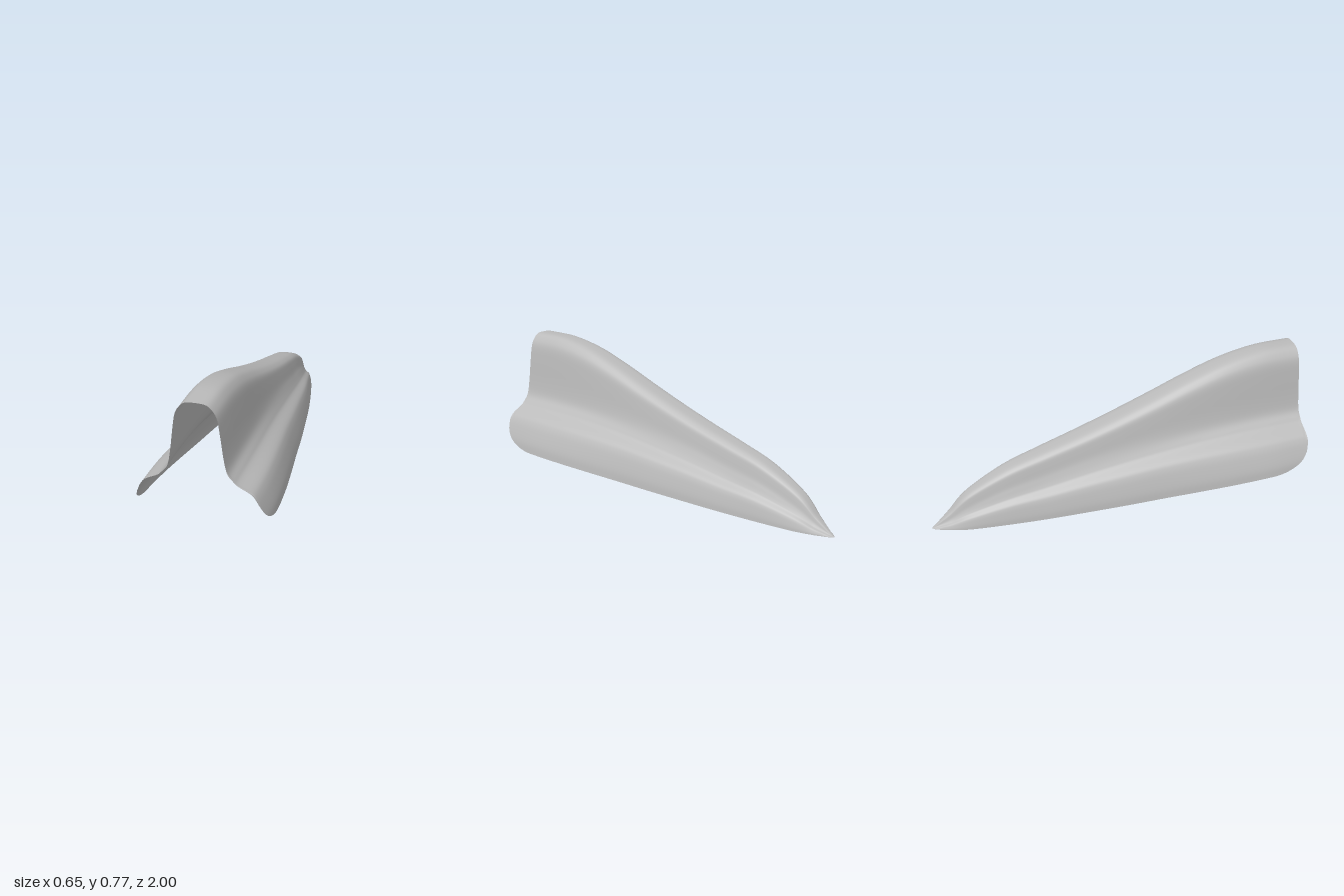
import * as THREE from 'three';

// Stations from nose to open end: z, ridge height, waist height, hem half-width, waist half-width
const stations = [
  [-1, 0, 0, 0, 0],
  [-0.98, 0.016, 0.010, 0.020, 0.009],
  [-0.95, 0.042, 0.025, 0.037, 0.018],
  [-0.9, 0.088, 0.052, 0.063, 0.033],
  [-0.8, 0.187, 0.112, 0.100, 0.056],
  [-0.6, 0.297, 0.190, 0.145, 0.083],
  [-0.4, 0.366, 0.240, 0.182, 0.098],
  [-0.2, 0.430, 0.290, 0.212, 0.109],
  [0, 0.500, 0.333, 0.240, 0.118],
  [0.2, 0.576, 0.370, 0.264, 0.126],
  [0.4, 0.656, 0.398, 0.290, 0.133],
  [0.6, 0.725, 0.417, 0.313, 0.139],
  [0.8, 0.764, 0.427, 0.327, 0.142],
  [1, 0.77, 0.43, 0.326, 0.143],
];

// Half section: hood from ridge to waist, then flared skirt from waist to hem
const hood = [[0, 1], [0.35, 0.985], [0.56, 0.91], [0.70, 0.79], [0.79, 0.55], [0.89, 0.22], [1, 0]];
const skirt = [[0.15, -0.14], [0.28, -0.225], [0.60, -0.34], [0.74, -0.45], [0.85, -0.61], [0.957, -0.82], [1, -1]];

const spline = (points) => new THREE.CatmullRomCurve3(points, false, 'catmullrom', 0.5);

function sectionCurve(ridge, waist, hem, hemWidth, waistWidth) {
  const half = [
    ...hood.map(([x, y]) => new THREE.Vector3(x * waistWidth, waist + y * (ridge - waist), 0)),
    ...skirt.map(([x, y]) => new THREE.Vector3(waistWidth + x * (hemWidth - waistWidth), waist + y * (waist - hem), 0)),
  ];
  // mirrored so the ridge stays smooth
  const mirror = half.slice(1).reverse().map((p) => new THREE.Vector3(-p.x, p.y, 0));
  return spline([...mirror, ...half]);
}

function shellGeometry(rows, cols) {
  const heights = spline(stations.map((s) => new THREE.Vector3(s[0], s[1], s[2])));
  const widths = spline(stations.map((s) => new THREE.Vector3(s[0], s[3], s[4])));
  const positions = [], index = [];
  const h = new THREE.Vector3(), w = new THREE.Vector3(), p = new THREE.Vector3();
  for (let i = 0; i <= rows; i++) {
    heights.getPoint(i / rows, h);
    widths.getPoint(i / rows, w);
    const z = h.x;
    const hem = 0.0845 * (z + 1);
    const curve = sectionCurve(h.y, h.z, hem, w.y, w.z);
    // rounded lower corners at the open end
    const s = Math.min(1, Math.max(0, (z - 0.8) / 0.2));
    const reach = 1 - 0.21 * (1 - Math.sqrt(1 - s * s));
    for (let j = 0; j <= cols; j++) {
      curve.getPoint(0.5 + reach * (j / cols - 0.5), p);
      positions.push(p.x, p.y, z);
      if (i < rows && j < cols) {
        const a = i * (cols + 1) + j, b = a + cols + 1;
        index.push(a, b, a + 1, b, b + 1, a + 1);
      }
    }
  }
  const geometry = new THREE.BufferGeometry();
  geometry.setAttribute('position', new THREE.Float32BufferAttribute(positions, 3));
  geometry.setIndex(index);
  geometry.computeVertexNormals();
  return geometry;
}

export function createModel() {
  const grey = new THREE.MeshStandardMaterial({ color: 0xbbbbbb, side: THREE.DoubleSide });
  grey.name = 'plain grey';
  const shell = new THREE.Mesh(shellGeometry(234, 104), grey);
  shell.name = 'flaredShell';
  const group = new THREE.Group();
  group.name = 'hoodShell';
  group.add(shell);
  return group;
}
